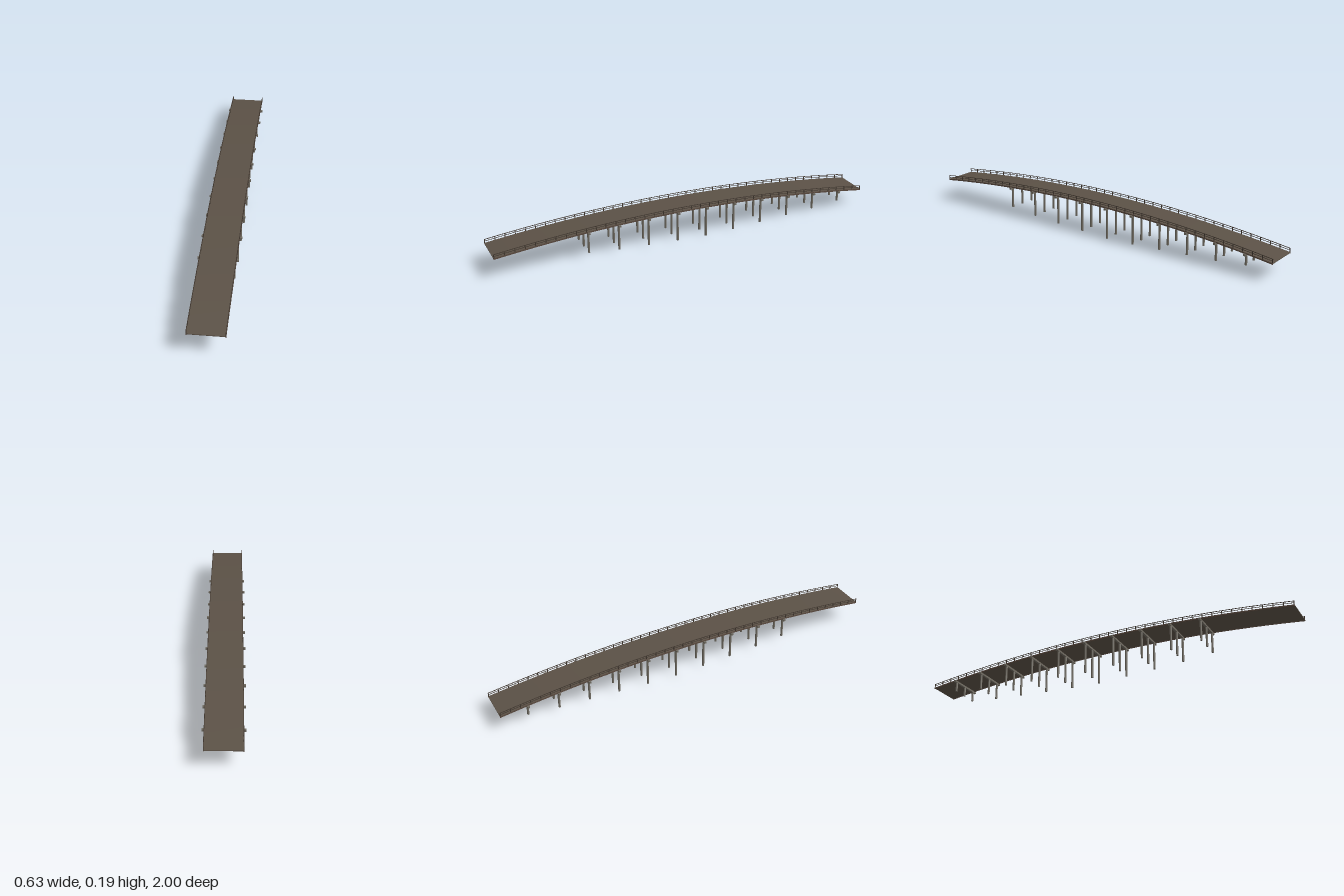
import * as THREE from 'three';

const HALF_LENGTH = 1.006, HALF_WIDTH = 0.0855, SEGMENTS = 40;

// Height of the road surface along the bridge: a shallow arch, crest a little past the middle
const roadHeight = (s) => {
  const t = (s + HALF_LENGTH) / (2 * HALF_LENGTH);
  return 0.17 - 0.262 * (t - 0.553) ** 2;
};

const material = (name, color) => {
  const m = new THREE.MeshStandardMaterial({ color });
  m.name = name;
  return m;
};

export function createModel() {
  const roadMat = material('brown road', 0x5b5146);
  const railMat = material('dark brown railing', 0x40372f);
  const girderMat = material('brown girder', 0x5b4a3f);
  const pierMat = material('grey pier', 0x706b61);

  const bridge = new THREE.Group();
  bridge.name = 'bridge';

  const add = (parent, name, geometry, mat, x = 0, y = 0, z = 0) => {
    const mesh = new THREE.Mesh(geometry, mat);
    mesh.name = name;
    mesh.position.set(x, y, z);
    parent.add(mesh);
    return mesh;
  };

  // Long beam bent to follow the arch; offset is its centre above the road surface
  const archedBeam = (width, height, offset) => {
    const g = new THREE.BoxGeometry(width, height, 2 * HALF_LENGTH, 1, 1, SEGMENTS);
    const p = g.attributes.position;
    for (let i = 0; i < p.count; i++) {
      p.setY(i, p.getY(i) + offset + roadHeight(p.getZ(i)));
    }
    g.computeVertexNormals();
    return g;
  };

  // Road slab
  add(bridge, 'roadDeck', archedBeam(2 * HALF_WIDTH, 0.004, -0.002), roadMat);

  // Edge girders and railings on both sides
  const postGeo = new THREE.BoxGeometry(0.0025, 0.02, 0.004);
  for (const side of [-1, 1]) {
    const railing = new THREE.Group();
    railing.name = side > 0 ? 'leftRailing' : 'rightRailing';
    bridge.add(railing);
    const x = side * (HALF_WIDTH - 0.0005);
    add(railing, 'edgeGirder', archedBeam(0.003, 0.007, -0.0037), girderMat, x);
    add(railing, 'topRail', archedBeam(0.0025, 0.0025, 0.0187), railMat, x);
    add(railing, 'middleRail', archedBeam(0.002, 0.002, 0.0095), railMat, x);
    for (let i = 0; i <= SEGMENTS; i++) {
      const s = (i / SEGMENTS * 2 - 1) * (HALF_LENGTH - 0.002);
      add(railing, 'railPost', postGeo, railMat, x, roadHeight(s) + 0.009, s);
    }
  }

  // Piers: three columns under a cross beam; feet follow the ground
  const feet = [0.045, 0.03, 0.022, 0.013, 0.004, 0, 0.007, 0.015, 0.025, 0.041];
  const capGeo = new THREE.BoxGeometry(0.192, 0.01, 0.011);
  feet.forEach((foot, i) => {
    const pier = new THREE.Group();
    pier.name = 'pier';
    bridge.add(pier);
    const s = -0.868 + 0.1565 * i;
    const capY = roadHeight(s) - 0.0095;
    add(pier, 'crossBeam', capGeo, pierMat, 0, capY, s);
    const height = capY - foot;
    const columnGeo = new THREE.CylinderGeometry(0.0056, 0.0056, height, 12);
    for (const x of [-0.075, 0, 0.075]) {
      add(pier, 'column', columnGeo, pierMat, x, foot + height / 2, s);
    }
  });

  // The bridge crosses at a slight angle
  bridge.rotation.y = 0.2337;

  const model = new THREE.Group();
  model.name = 'archedBridge';
  model.add(bridge);
  return model;
}
